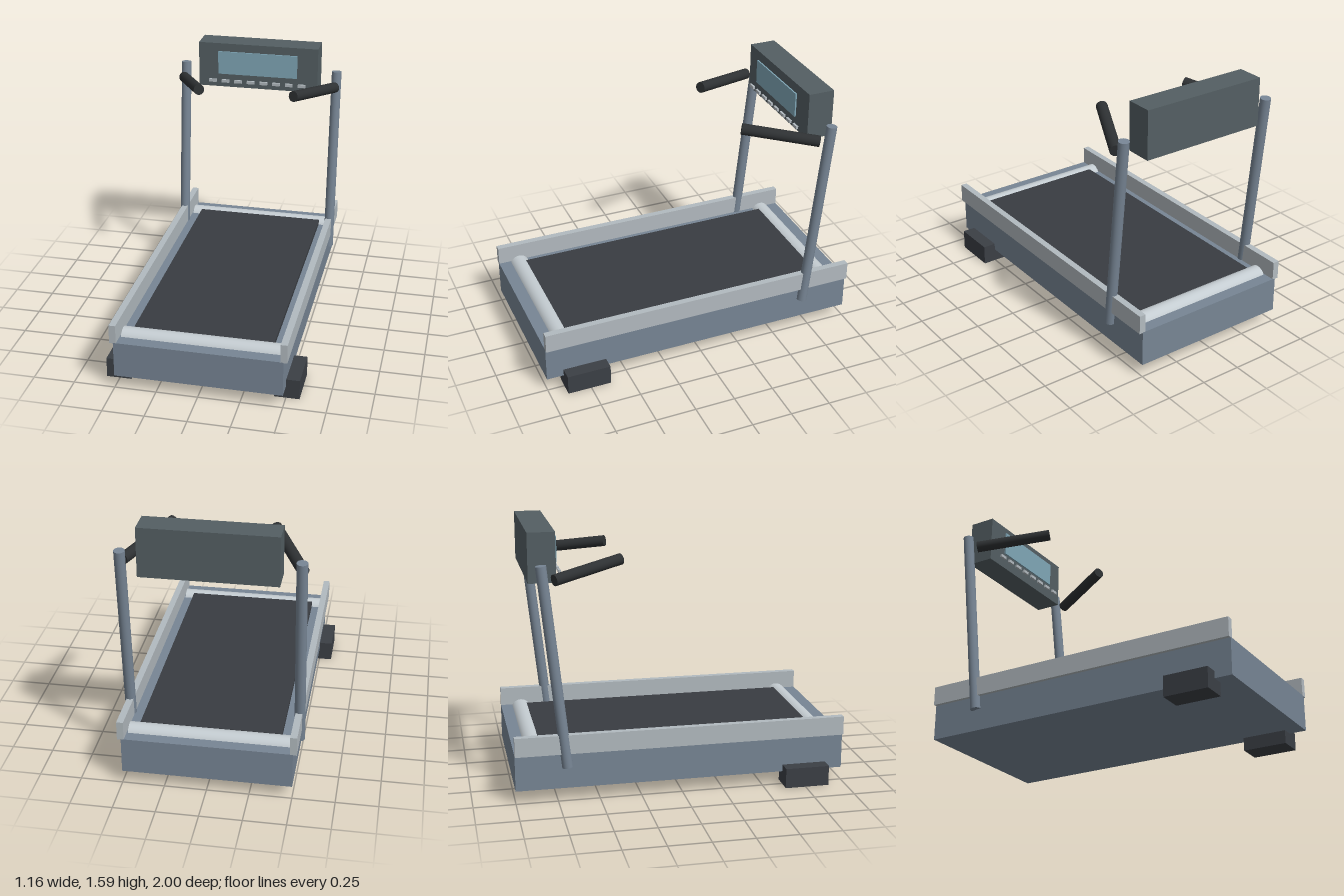
import * as THREE from 'three';

const mat = (name, color) => Object.assign(new THREE.MeshStandardMaterial({ color }), { name });

export function createModel() {
  const frame = mat('frame slate', 0x778594);
  const rail = mat('rail grey', 0xb2babf);
  const roller = mat('roller silver', 0xc4ccd1);
  const belt = mat('belt charcoal', 0x393c41);
  const housing = mat('housing grey', 0x545f63);
  const glass = mat('screen blue', 0x80a7b7);
  const rubber = mat('grip black', 0x2e3133);
  const foot = mat('foot charcoal', 0x3b3f45);

  const group = new THREE.Group();
  group.name = 'treadmill';

  // Box given by its extents on each axis
  const box = (name, m, [x0, x1], [y0, y1], [z0, z1]) => {
    const mesh = new THREE.Mesh(new THREE.BoxGeometry(x1 - x0, y1 - y0, z1 - z0), m);
    mesh.position.set((x0 + x1) / 2, (y0 + y1) / 2, (z0 + z1) / 2);
    mesh.name = name;
    group.add(mesh);
  };

  // Round bar between two points
  const bar = (name, m, r, a, b) => {
    const from = new THREE.Vector3(...a), to = new THREE.Vector3(...b);
    const dir = to.clone().sub(from);
    const mesh = new THREE.Mesh(new THREE.CylinderGeometry(r, r, dir.length(), 24), m);
    mesh.position.copy(from).add(to).multiplyScalar(0.5);
    mesh.quaternion.setFromUnitVectors(new THREE.Vector3(0, 1, 0), dir.normalize());
    mesh.name = name;
    group.add(mesh);
  };

  // Base with running belt and end rollers
  box('deck', frame, [-0.5, 0.5], [0.08, 0.3], [-1, 1]);
  box('belt', belt, [-0.418, 0.418], [0.29, 0.326], [-0.838, 0.838]);
  bar('frontRoller', roller, 0.063, [-0.475, 0.271, 0.868], [0.475, 0.271, 0.868]);
  bar('backRoller', roller, 0.063, [-0.475, 0.271, -0.872], [0.475, 0.271, -0.872]);

  // Mirrored side parts
  for (const [side, s] of [['left', 1], ['right', -1]]) {
    const span = (a, b) => (s > 0 ? [a, b] : [-b, -a]);
    box(side + 'Rail', rail, span(0.482, 0.522), [0.297, 0.413], [-1, 1]);
    box(side + 'Foot', foot, span(0.43, 0.58), [0, 0.123], [0.625, 0.895]);
    bar(side + 'Post', frame, 0.032, [s * 0.506, 0.213, -0.692], [s * 0.506, 1.418, -0.82]);
    bar(side + 'Grip', rubber, 0.034, [s * 0.506, 1.333, -0.745], [s * 0.302, 1.4, -0.33]);
  }

  // Console with display and button row
  box('console', housing, [-0.395, 0.395], [1.295, 1.59], [-0.883, -0.72]);
  box('screen', glass, [-0.262, 0.262], [1.388, 1.54], [-0.709, -0.7]);
  for (let i = 0; i < 8; i++) {
    const x = (i - 3.5) * 0.0845;
    box('button' + (i + 1), rail, [x - 0.025, x + 0.025], [1.334, 1.353], [-0.698, -0.684]);
  }
  return group;
}
